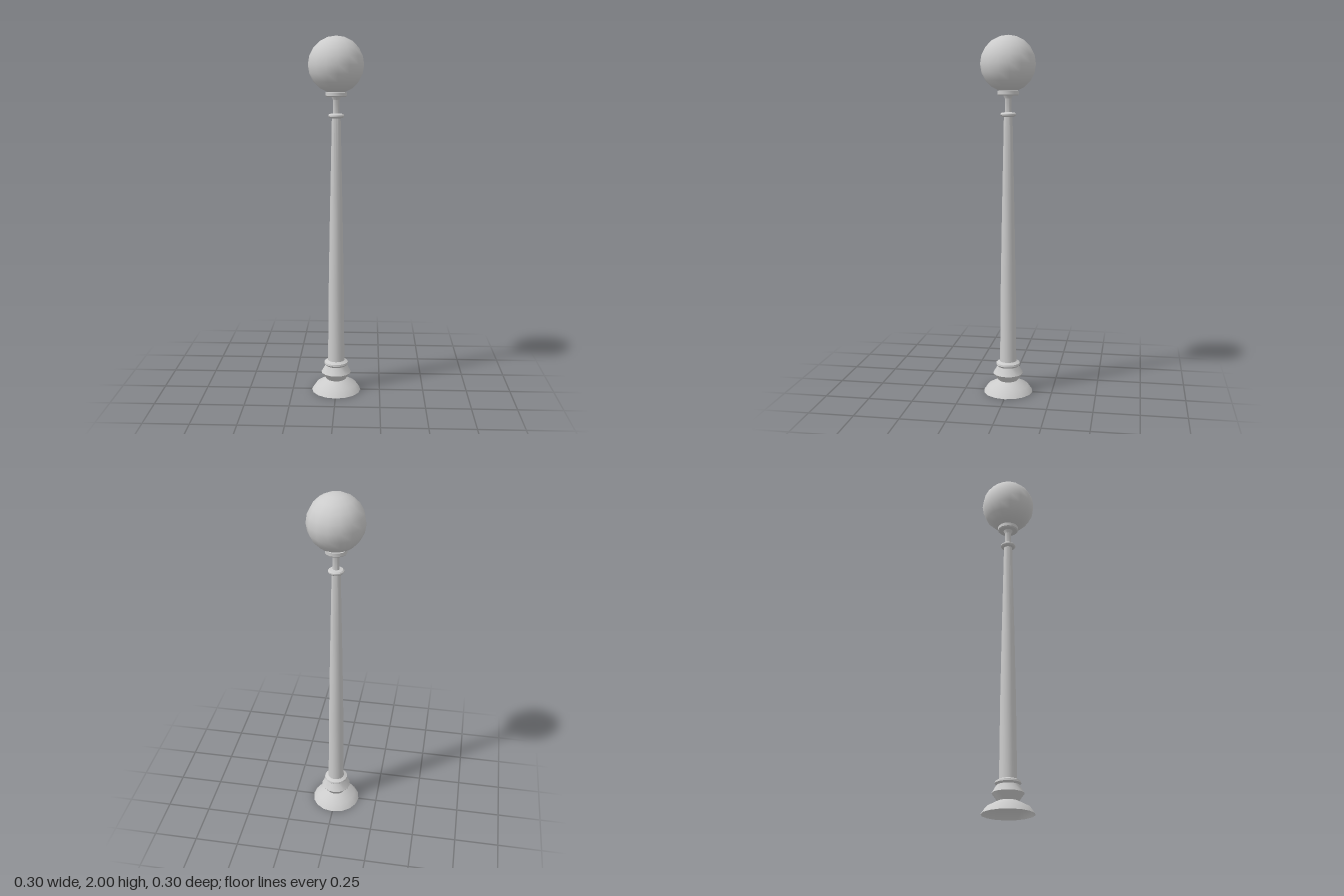
import * as THREE from 'three';
import { toCreasedNormals } from 'three/addons/utils/BufferGeometryUtils.js';

const material = new THREE.MeshStandardMaterial({ color: 0xcccccc, side: THREE.DoubleSide });

// Turned part from a profile of [radius, height] pairs, bottom to top
function turned(name, profile, sides = 16) {
  const points = profile.map(([r, y]) => new THREE.Vector2(r, y));
  const geometry = toCreasedNormals(new THREE.LatheGeometry(points, sides), 0.6);
  const mesh = new THREE.Mesh(geometry, material);
  mesh.name = name;
  return mesh;
}

export function createModel() {
  const group = new THREE.Group();
  group.name = 'globeStreetLamp';

  // Flared foot, hollow underneath
  group.add(turned('foot', [[0.14, 0], [0.115, 0.036], [0.055, 0.067]]));

  // Bulged collar with a closed underside
  group.add(turned('baseCollar', [
    [0, 0.067], [0.055, 0.067], [0.085, 0.108], [0.06, 0.15],
    [0.069, 0.16], [0.067, 0.17], [0.048, 0.18],
  ]));

  // Tapered shaft
  group.add(turned('shaft', [[0.047, 0.175], [0.043, 0.6], [0.036, 1.0], [0.024, 1.57]]));

  // Ring at the top of the shaft
  group.add(turned('shaftRing', [
    [0.022, 1.56], [0.037, 1.564], [0.043, 1.571], [0.043, 1.578], [0.037, 1.584], [0.018, 1.587],
  ]));

  // Slim neck and globe holder
  group.add(turned('neck', [[0.018, 1.58], [0.018, 1.66], [0.027, 1.677]]));
  group.add(turned('globeHolder', [[0, 1.677], [0.053, 1.677], [0.059, 1.683], [0.059, 1.702], [0, 1.706]]));

  // Faceted globe with smooth shading
  const globe = new THREE.Mesh(new THREE.SphereGeometry(0.153, 15, 10), material);
  globe.name = 'globe';
  globe.position.y = 1.847;
  group.add(globe);

  return group;
}
